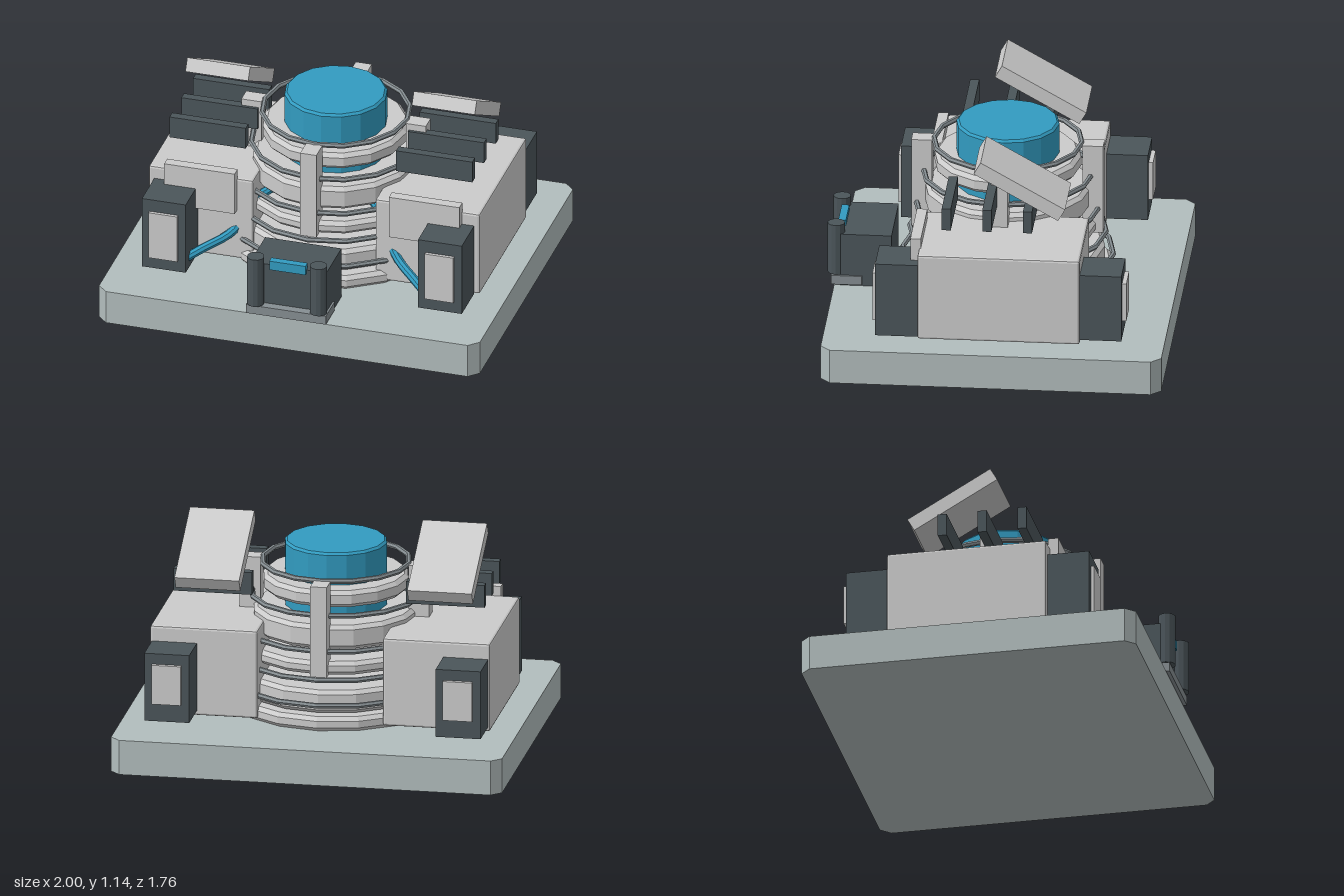
import * as THREE from 'three';
import { RoundedBoxGeometry } from 'three/addons/geometries/RoundedBoxGeometry.js';

const mat = (color) => new THREE.MeshStandardMaterial({ color, flatShading: true });

export function createModel() {
  const root = new THREE.Group();
  const grey = mat(0xcccccc), dark = mat(0x4b555a), blue = mat(0x329bc0);
  const stone = mat(0xb2bdbd), steel = mat(0x868e92);
  const SIDES = 16, CZ = -0.02;

  function add(name, geometry, material, x = 0, y = 0, z = 0, parent = root) {
    const m = new THREE.Mesh(geometry, material);
    m.name = name;
    m.position.set(x, y, z);
    parent.add(m);
    return m;
  }
  // Box given by its minimum and maximum along each axis
  function box(name, material, [x0, x1], [y0, y1], [z0, z1], bevel = 0) {
    const s = [x1 - x0, y1 - y0, z1 - z0];
    const g = bevel ? new RoundedBoxGeometry(...s, 1, bevel) : new THREE.BoxGeometry(...s);
    return add(name, g, material, (x0 + x1) / 2, (y0 + y1) / 2, (z0 + z1) / 2);
  }
  // Disc with a small chamfer on both rims
  function disc(name, material, r, y0, y1, c = 0.012) {
    const profile = [[0, y0], [r - c, y0], [r, y0 + c], [r, y1 - c], [r - c, y1], [0, y1]];
    const g = new THREE.LatheGeometry(profile.map((p) => new THREE.Vector2(...p)), SIDES);
    return add(name, g, material, 0, 0, CZ);
  }

  // Base slab with cut corners
  const c = 0.05, w = 1, d = 0.86;
  const outline = new THREE.Shape([
    [-w + c, -d], [w - c, -d], [w, -d + c], [w, d - c],
    [w - c, d], [-w + c, d], [-w, d - c], [-w, -d + c],
  ].map((p) => new THREE.Vector2(...p)));
  const slab = new THREE.ExtrudeGeometry(outline, { depth: 0.18, bevelEnabled: false });
  slab.rotateX(-Math.PI / 2);
  add('base', slab, stone, 0, 0, CZ);

  // Central tower: stacked tiers around a core, capped by the blue drum
  disc('towerCore', grey, 0.18, 0.18, 0.7);
  disc('blueDrum', blue, 0.26, 0.66, 1.035);
  const tiers = [
    [0.54, 0.18, 0.255], [0.49, 0.26, 0.38], [0.455, 0.45, 0.52],
    [0.42, 0.575, 0.7], [0.37, 0.78, 0.867],
  ];
  tiers.forEach(([r, y0, y1]) => disc('towerTier', grey, r, y0, y1, 0.02));

  // Hoops around the tower
  const hoops = [[0.532, 0.315], [0.495, 0.438], [0.465, 0.58], [0.428, 0.757], [0.373, 0.922]];
  for (const [r, y] of hoops) {
    const g = new THREE.TorusGeometry(r, 0.014, 6, SIDES);
    g.rotateX(Math.PI / 2);
    add('towerHoop', g, steel, 0, y, CZ);
  }

  // Four upright struts
  for (let i = 0; i < 4; i++) {
    const a = (i * Math.PI) / 2;
    const strut = add('towerStrut', new THREE.BoxGeometry(0.085, 0.475, 0.105), grey,
      Math.sin(a) * 0.432, 0.688, CZ + Math.cos(a) * 0.432);
    strut.rotation.y = a;
  }

  // Left and right equipment
  for (const s of [-1, 1]) {
    const span = (a, b) => (s > 0 ? [a, b] : [-b, -a]);
    box('sideHousing', grey, span(0.32, 0.87), [0.2, 0.66], [-0.46, 0.36], 0.012);
    box('housingFrontPanel', grey, span(0.405, 0.775), [0.48, 0.71], [0.35, 0.403]);

    // Corner units with face plates
    box('frontCornerUnit', dark, span(0.61, 0.84), [0.2, 0.592], [0.36, 0.575]);
    box('frontCornerPlate', grey, span(0.65, 0.8), [0.265, 0.525], [0.56, 0.592]);
    box('rearCornerUnit', dark, span(0.63, 0.86), [0.225, 0.58], [-0.67, -0.45]);
    box('rearCornerPlate', grey, span(0.67, 0.82), [0.32, 0.525], [-0.692, -0.65]);

    // Fins above the housing, with a tilted panel over them
    for (const z of [0.22, 0.015, -0.19]) {
      box('fin', dark, span(0.395, 0.795), [0.773, 0.89], [z - 0.023, z + 0.023]);
    }
    const panel = add('tiltedPanel', new THREE.BoxGeometry(0.33, 0.072, 0.49), grey,
      s * 0.595, 0.983, -0.146);
    panel.rotation.x = -0.515;

    // Pipe from the front corner unit to the tower
    const path = new THREE.CatmullRomCurve3([
      [0.68, 0.22, 0.54], [0.56, 0.285, 0.46], [0.43, 0.352, 0.36],
      [0.31, 0.525, 0.24], [0.17, 0.55, 0.1],
    ].map(([x, y, z]) => new THREE.Vector3(s * x, y, z)));
    add('pipe', new THREE.TubeGeometry(path, 20, 0.023, 8), blue);
  }

  // Front console
  box('consoleBody', dark, [-0.2, 0.2], [0.18, 0.46], [0.55, 0.81]);
  box('consoleStep', steel, [-0.21, 0.21], [0.187, 0.235], [0.7, 0.855]);
  box('consoleScreen', blue, [-0.095, 0.095], [0.44, 0.49], [0.79, 0.828]);
  for (const s of [-1, 1]) {
    add('consolePost', new THREE.CylinderGeometry(0.044, 0.044, 0.27, 12), dark, s * 0.165, 0.375, 0.832);
  }
  return root;
}
